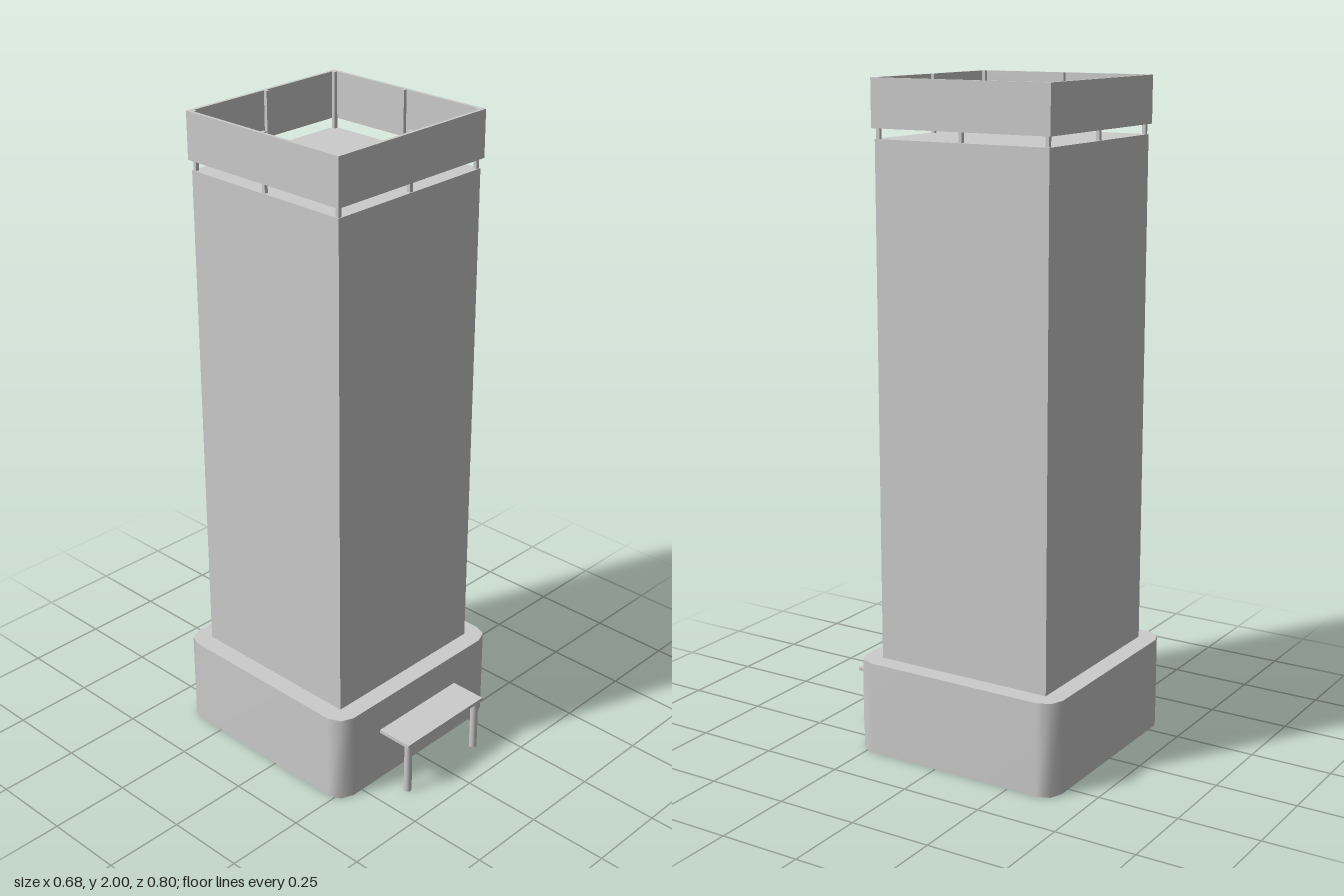
import * as THREE from 'three';

const grey = new THREE.MeshStandardMaterial({ color: 0xcccccc });
const thin = new THREE.MeshStandardMaterial({ color: 0xcccccc, side: THREE.DoubleSide });

const BASE = 0.342, TOWER = 0.284, RIM_OUT = 0.291, RIM_IN = 0.281; // half widths
const BASE_TOP = 0.285, ROOF = 1.83, TOP = 2;
const CENTRE_Z = -0.0585;

function add(parent, name, geometry, material, x = 0, y = 0, z = 0) {
  const mesh = new THREE.Mesh(geometry, material);
  mesh.name = name;
  mesh.position.set(x, y, z);
  parent.add(mesh);
  return mesh;
}

// Corner points of a square, counter-clockwise
function square(half) {
  return [[1, 1], [-1, 1], [-1, -1], [1, -1]].map(([x, y]) => new THREE.Vector2(x * half, y * half));
}

// Square with each corner rounded in two steps
function roundedSquare(half, radius) {
  const points = [];
  for (let corner = 0; corner < 4; corner++) {
    const middle = (corner + 0.5) * Math.PI / 2;
    const cx = Math.sign(Math.cos(middle)) * (half - radius);
    const cy = Math.sign(Math.sin(middle)) * (half - radius);
    for (let step = 0; step <= 2; step++) {
      const a = (corner + step / 2) * Math.PI / 2;
      points.push(new THREE.Vector2(cx + radius * Math.cos(a), cy + radius * Math.sin(a)));
    }
  }
  return points;
}

function frameShape(outer, inner) {
  const shape = new THREE.Shape(outer);
  shape.holes.push(new THREE.Path(inner.slice().reverse()));
  return shape;
}

// Upright smooth wall following a closed outline
function wallGeometry(outline, height) {
  const positions = [], index = [], n = outline.length;
  outline.forEach((p, i) => {
    positions.push(p.x, 0, -p.y, p.x, height, -p.y);
    const a = 2 * i, b = 2 * ((i + 1) % n);
    index.push(a, b, b + 1, a, b + 1, a + 1);
  });
  const geometry = new THREE.BufferGeometry();
  geometry.setAttribute('position', new THREE.Float32BufferAttribute(positions, 3));
  geometry.setIndex(index);
  geometry.computeVertexNormals();
  return geometry;
}

export function createModel() {
  const model = new THREE.Group();
  model.name = 'towerBuilding';
  const building = new THREE.Group();
  building.name = 'building';
  building.position.z = CENTRE_Z;
  model.add(building);

  // Hollow ground floor with a flat ledge around the tower
  const outline = roundedSquare(BASE, 0.055);
  add(building, 'baseWall', wallGeometry(outline, BASE_TOP), thin);
  const ledge = new THREE.ShapeGeometry(frameShape(outline, square(TOWER)));
  add(building, 'baseLedge', ledge.rotateX(-Math.PI / 2), thin, 0, BASE_TOP);

  // Tower shaft: a box with its underside left open
  const height = ROOF - BASE_TOP;
  const shaft = new THREE.BoxGeometry(TOWER * 2, height, TOWER * 2);
  const faces = Array.from(shaft.index.array);
  faces.splice(18, 6);
  shaft.setIndex(faces);
  shaft.clearGroups();
  add(building, 'towerShaft', shaft, thin, 0, BASE_TOP + height / 2);

  // Parapet band floating above the roof
  const band = new THREE.ExtrudeGeometry(frameShape(square(RIM_OUT), square(RIM_IN)),
    { depth: TOP - 1.86, bevelEnabled: false });
  add(building, 'parapet', band.rotateX(-Math.PI / 2), grey, 0, 1.86);

  // Eight posts carrying the parapet
  const size = 0.011, reach = RIM_IN - size / 2;
  const post = new THREE.BoxGeometry(size, TOP - ROOF, size);
  for (const i of [-1, 0, 1]) {
    for (const k of [-1, 0, 1]) {
      if (i || k) add(building, 'parapetPost', post, grey, i * reach, (TOP + ROOF) / 2, k * reach);
    }
  }

  // Entrance canopy on two round columns
  const front = CENTRE_Z + BASE;
  const canopyDepth = 0.4 - front;
  add(model, 'canopy', new THREE.BoxGeometry(0.342, 0.011, canopyDepth), grey,
    0, 0.175, front + canopyDepth / 2);
  const column = new THREE.CylinderGeometry(0.012, 0.012, 0.17, 16);
  for (const side of [-1, 1]) add(model, 'canopyColumn', column, grey, side * 0.153, 0.085, 0.383);

  return model;
}
